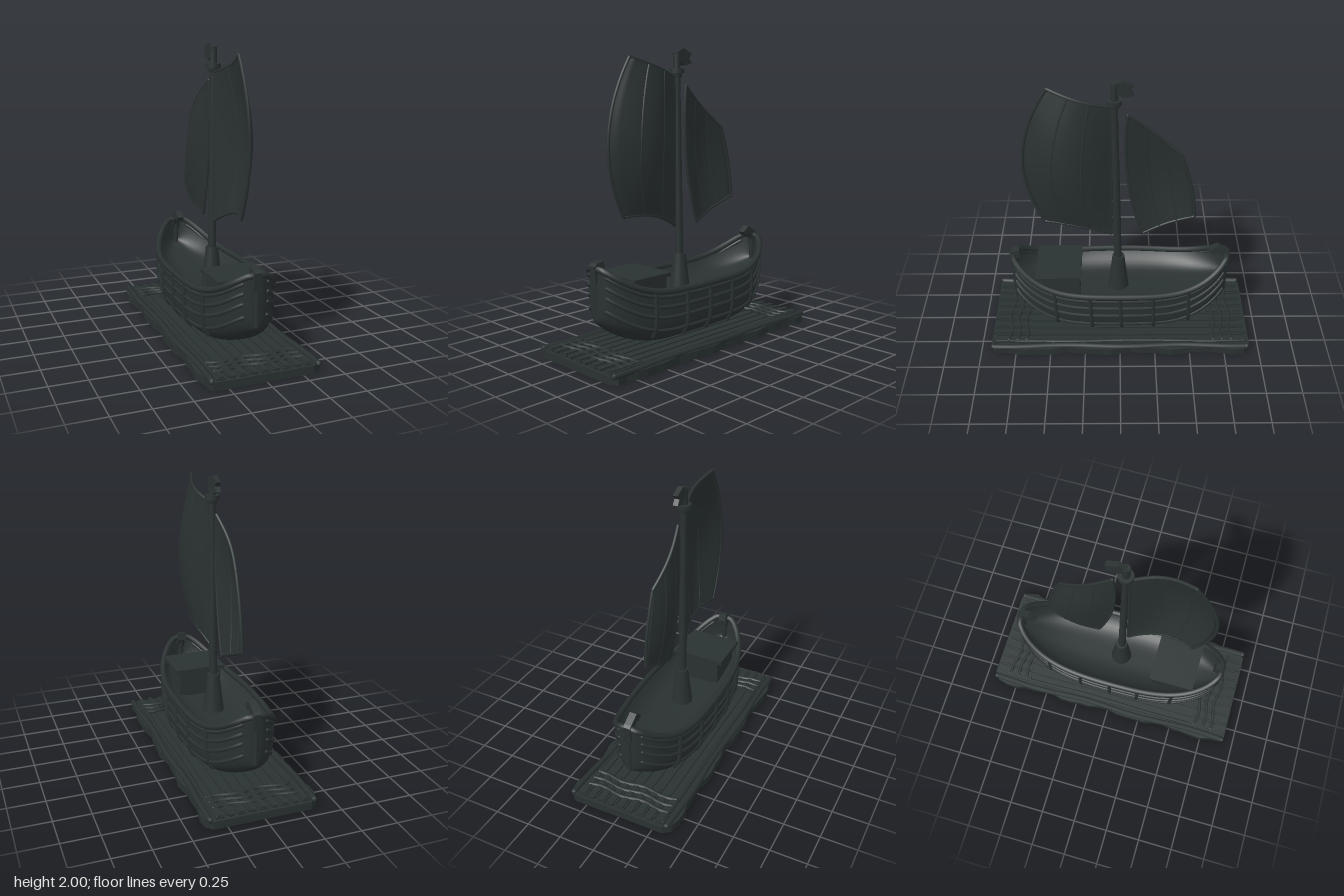
import * as THREE from 'three';

const L = 0.765; // half length of the hull
const mat = new THREE.MeshStandardMaterial({ color: 0x2a3131, side: THREE.DoubleSide });
const V = (x, y, z) => new THREE.Vector3(x, y, z);
const steps = (n, fn) => Array.from({ length: n + 1 }, (_, i) => fn(i / n));

function add(parent, name, geometry, x = 0, y = 0, z = 0) {
  const mesh = new THREE.Mesh(geometry, mat);
  mesh.name = name;
  mesh.position.set(x, y, z);
  parent.add(mesh);
  return mesh;
}

function group(parent, name) {
  const g = new THREE.Group();
  g.name = name;
  parent.add(g);
  return g;
}

// Smooth surface through fn(u, v)
function surface(fn, nu, nv) {
  const pos = [], idx = [];
  for (let j = 0; j <= nv; j++) {
    for (let i = 0; i <= nu; i++) {
      const p = fn(i / nu, j / nv);
      pos.push(p.x, p.y, p.z);
      if (i < nu && j < nv) {
        const a = j * (nu + 1) + i, b = a + nu + 1;
        idx.push(a, a + 1, b, a + 1, b + 1, b);
      }
    }
  }
  const g = new THREE.BufferGeometry();
  g.setAttribute('position', new THREE.Float32BufferAttribute(pos, 3));
  g.setIndex(idx);
  g.computeVertexNormals();
  return g;
}

// Round cord along points, with rounded ends
function cord(parent, name, points, r, closed = false) {
  const curve = new THREE.CatmullRomCurve3(points, closed);
  add(parent, name, new THREE.TubeGeometry(curve, points.length * 3, r, 7, closed));
  if (!closed) {
    for (const p of [points[0], points[points.length - 1]]) {
      add(parent, name + 'End', new THREE.SphereGeometry(r, 7, 5), p.x, p.y, p.z);
    }
  }
}

// Flat plate drawn in (z, y), thickness along x
function plate(points, thick) {
  const shape = new THREE.Shape(points.map(([z, y]) => new THREE.Vector2(z, y)));
  return new THREE.ExtrudeGeometry(shape, { depth: thick, bevelEnabled: false })
    .rotateY(-Math.PI / 2).translate(thick / 2, 0, 0);
}

// Hull lines: half width, gunwale height and keel height along z
const width = z => 0.275 * Math.sqrt(Math.max(0, 1 - Math.pow(Math.abs(z) / L, 2.5)));
const sheer = z => 0.45 + 0.185 * Math.pow(Math.max(0, Math.abs(z) - 0.2) / (L - 0.2), 3);
const keel = z => 0.08 + 0.2 * Math.pow(Math.max(0, Math.abs(z) - 0.3) / (L - 0.3), 2.1);
// g runs from 0 at the gunwale to 1 at the keel
const hullPoint = (z, g, side) => V(
  side * width(z) * Math.pow(Math.max(0, 1 - g ** 6), 0.45),
  sheer(z) + (keel(z) - sheer(z)) * g, z);

function buildRaft(root) {
  const raft = group(root, 'raft');
  // Slab with wavy long edges and cut corners
  const wave = z => 0.378 + 0.011 * Math.sin(z * 13) + 0.006 * Math.sin(z * 29);
  const zs = steps(24, t => -0.89 + 1.78 * t);
  const pts = [
    ...zs.map(z => new THREE.Vector2(wave(z), -z)),
    new THREE.Vector2(0.32, -0.925), new THREE.Vector2(-0.35, -0.925),
    ...zs.slice().reverse().map(z => new THREE.Vector2(-wave(z + 0.4), -z)),
    new THREE.Vector2(-0.32, 0.93), new THREE.Vector2(0.34, 0.93),
  ];
  add(raft, 'slab', new THREE.ExtrudeGeometry(new THREE.Shape(pts), { depth: 0.054, bevelEnabled: false })
    .rotateX(-Math.PI / 2));
  // Planks and poles running lengthwise
  for (let i = -4; i <= 4; i++) {
    const x = i * 0.073;
    add(raft, 'plank', new THREE.BoxGeometry(0.058, 0.014, 1.82 - 0.03 * (i & 1)), x, 0.058, 0);
    for (const s of [-1, 1]) {
      add(raft, 'shortPole', new THREE.BoxGeometry(0.034, 0.018, 0.26), x, 0.066, s * (0.775 + 0.01 * (i & 1)));
    }
  }
  for (const s of [-1, 1]) {
    cord(raft, 'edgePole', steps(12, t => V(s * (0.352 + 0.008 * Math.sin(t * 14 + s)), 0.058, (t - 0.5) * 1.82)), 0.02);
    cord(raft, 'sidePole', steps(12, t => V(s * (0.305 + 0.005 * Math.sin(t * 11)), 0.058, (t - 0.5) * 1.78)), 0.014);
    // Woven cross poles at both ends
    for (const d of [0.68, 0.74, 0.8]) {
      cord(raft, 'crossPole', steps(10, t => V((t - 0.5) * 0.6, 0.068,
        s * (d + 0.012 * Math.sin(t * 12 + d * 9)))), 0.013);
    }
  }
}

function buildHull(root) {
  const hull = group(root, 'hull');
  const zAt = v => -L * Math.cos(Math.PI * v);
  add(hull, 'shell', surface((u, v) => {
    const q = 2 * u - 1;
    return hullPoint(zAt(v), 1 - q * q, q < 0 ? -1 : 1);
  }, 32, 40));
  add(hull, 'deck', surface((u, v) => {
    const z = zAt(v), s = Math.sin((u - 0.5) * Math.PI);
    const floor = 0.34 + 0.12 * Math.pow(Math.abs(z) / L, 4);
    return V(s * width(z), sheer(z) + (floor - sheer(z)) * (1 - s ** 4), z);
  }, 24, 40));
  // Gunwale rail
  const rail = [1, -1].flatMap(s => steps(19, t => {
    const z = -s * (L - 0.01) * Math.cos(Math.PI * (t * 0.95 + 0.025));
    return V(s * width(z), sheer(z), z);
  }));
  cord(hull, 'gunwale', rail, 0.021, true);
  for (const s of [-1, 1]) {
    // Wales follow the sheer, ribs cross them
    for (const g of [0.1, 0.28, 0.47, 0.71]) {
      cord(hull, 'wale', steps(20, t => hullPoint(0.735 * Math.sin((t - 0.5) * Math.PI), g, s)), 0.013);
    }
    for (const z of [0.46, 0.21, 0, -0.23, -0.48]) {
      cord(hull, 'rib', steps(8, t => hullPoint(z - 0.012 * t, 0.02 + 0.82 * t, s)
        .add(V(s * 0.005, 0, 0))), 0.014);
    }
  }
  // Curled stem heads
  add(hull, 'bowHead', plate([[0.772, 0.52], [0.782, 0.645], [0.765, 0.662], [0.712, 0.675],
    [0.7, 0.62], [0.735, 0.605]], 0.055));
  add(hull, 'sternHead', plate([[-0.77, 0.52], [-0.782, 0.645], [-0.765, 0.66], [-0.69, 0.705], [-0.635, 0.665],
    [-0.665, 0.632], [-0.69, 0.65], [-0.735, 0.61]], 0.05));
  for (const s of [-1, 1]) cord(hull, 'stemPost', [V(0, 0.3, s * 0.757), V(0, 0.45, s * 0.757), V(0, 0.62, s * 0.757)], 0.018);
  // Cabin
  const cabin = group(hull, 'cabin');
  add(cabin, 'cabinBody', new THREE.BoxGeometry(0.31, 0.19, 0.27), 0, 0.435, 0.42);
  add(cabin, 'cabinRoof', new THREE.BoxGeometry(0.37, 0.026, 0.32), 0, 0.538, 0.433);
}

function buildMast(root) {
  const mast = group(root, 'mast');
  add(mast, 'mastFoot', new THREE.CylinderGeometry(0.042, 0.075, 0.28, 20), 0, 0.47, 0.01);
  const pole = add(mast, 'pole', new THREE.CylinderGeometry(0.022, 0.028, 1.32, 16), 0, 1.21, 0.024);
  pole.rotation.x = 0.017;
  add(mast, 'topRing', new THREE.CylinderGeometry(0.05, 0.05, 0.03, 16), 0, 1.85, 0.035);
  add(mast, 'topCollar', new THREE.CylinderGeometry(0.036, 0.03, 0.03, 16), 0, 1.823, 0.035);
  add(mast, 'topPost', new THREE.CylinderGeometry(0.025, 0.025, 0.115, 16), 0, 1.918, 0.035);
  add(mast, 'pennant', plate([[0.06, 1.968], [-0.01, 2], [-0.09, 1.965], [-0.062, 1.935],
    [-0.088, 1.9], [-0.025, 1.885], [0.015, 1.91]], 0.035));
}

// Sail from corners [z, y]; luff/leech bow the sides along z, foot lifts the bottom edge
function buildSail(root, name, { low, high, outLow, outHigh, luff, leech, foot, belly }) {
  const sail = group(root, name);
  const mix = THREE.MathUtils.lerp;
  const at = (u, v, off = 0) => {
    const bow = 4 * v * (1 - v);
    const c = k => mix(mix(low[k], outLow[k], u), mix(high[k], outHigh[k], u), v);
    return V(belly * Math.sin(Math.PI * u) * (0.4 + 0.6 * Math.sin(Math.PI * v)) + off,
      c(1) + foot * 4 * u * (1 - u) * (1 - v) ** 2,
      c(0) + bow * mix(luff, leech, u));
  };
  // Front and back skins joined in one loop
  add(sail, 'cloth', surface((u, v) => (u < 0.5 ? at(2 * u, v, 0.007) : at(2 - 2 * u, v, -0.007)), 40, 24));
  for (const u of [0, 1]) cord(sail, 'sideHem', steps(12, t => at(u, t)), 0.011);
  for (const v of [0, 1]) cord(sail, 'edgeHem', steps(12, t => at(t, v)), 0.011);
  for (const u of [1 / 3, 2 / 3]) cord(sail, 'seam', steps(12, t => at(u, t)), 0.0105);
}

export function createModel() {
  const root = new THREE.Group();
  root.name = 'sailingBoat';
  buildRaft(root);
  buildHull(root);
  buildMast(root);
  buildSail(root, 'mainSail', {
    low: [0.06, 0.81], high: [0.06, 1.81], outLow: [0.515, 0.92], outHigh: [0.455, 1.94],
    luff: 0, leech: 0.15, foot: 0.045, belly: 0.11,
  });
  buildSail(root, 'foreSail', {
    low: [-0.155, 0.81], high: [-0.05, 1.75], outLow: [-0.515, 0.955], outHigh: [-0.4, 1.46],
    luff: 0.05, leech: -0.022, foot: 0, belly: -0.06,
  });
  return root;
}
